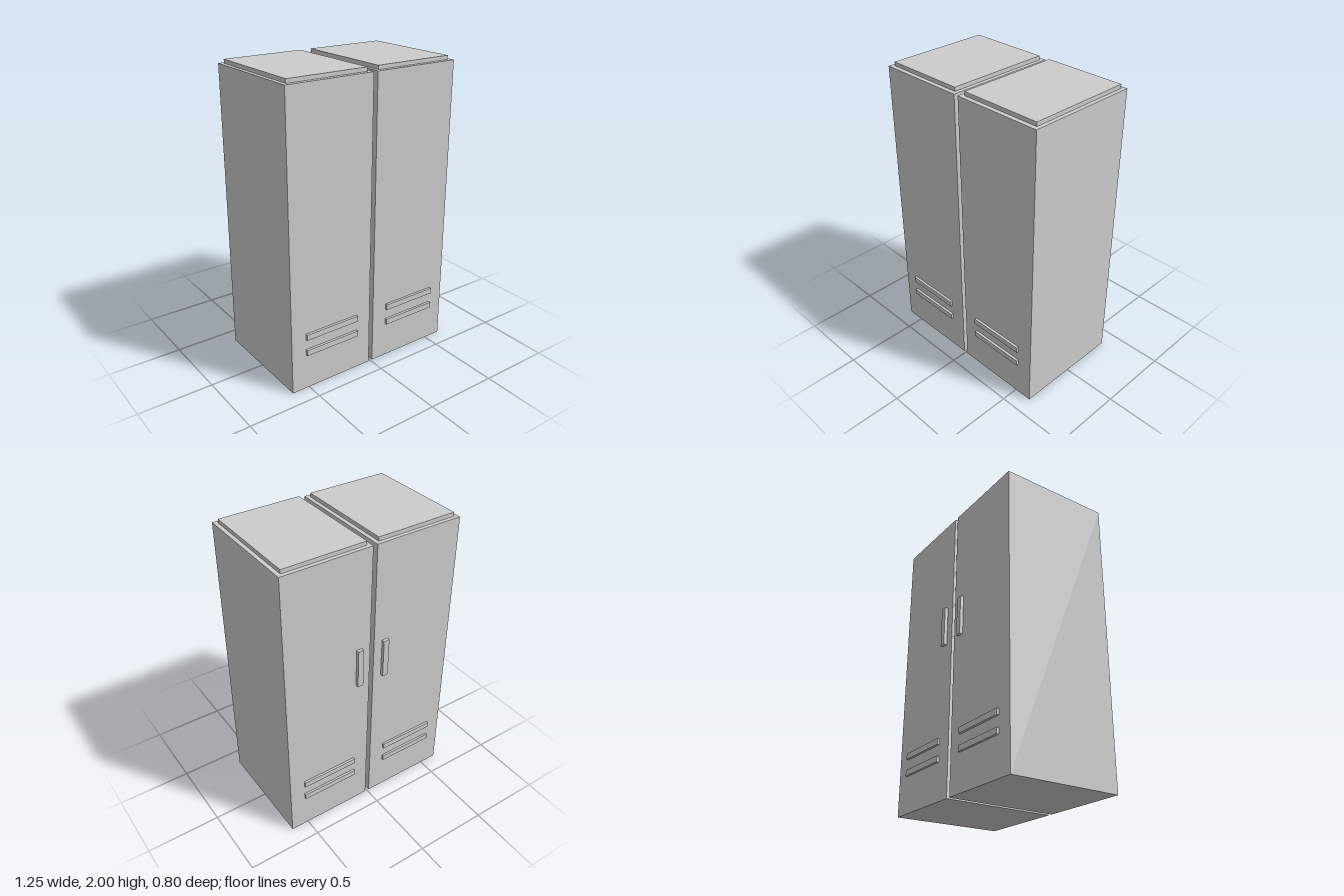
import * as THREE from 'three';

const material = new THREE.MeshStandardMaterial({ color: 0xcccccc });

// Box given by its lower and upper limits on each axis
function addBox(parent, name, [x0, x1], [y0, y1], [z0, z1]) {
  const mesh = new THREE.Mesh(new THREE.BoxGeometry(x1 - x0, y1 - y0, z1 - z0), material);
  mesh.name = name;
  mesh.position.set((x0 + x1) / 2, (y0 + y1) / 2, (z0 + z1) / 2);
  parent.add(mesh);
}

// One tall cabinet; side is +1 for the left and -1 for the right
function createCabinet(side) {
  const cabinet = new THREE.Group();
  cabinet.name = side > 0 ? 'leftCabinet' : 'rightCabinet';
  const span = (inner, outer) => (side > 0 ? [inner, outer] : [-outer, -inner]);

  addBox(cabinet, 'body', span(0.015, 0.623), [0, 1.974], [-0.379, 0.383]);
  addBox(cabinet, 'topPanel', span(0.041, 0.597), [1.974, 2], [-0.353, 0.354]);

  // Vent slats low on the front and the back
  for (const y of [0.247, 0.359]) {
    addBox(cabinet, 'frontVent', span(0.122, 0.518), [y, y + 0.039], [0.383, 0.4]);
    addBox(cabinet, 'backVent', span(0.122, 0.518), [y, y + 0.039], [-0.394, -0.379]);
  }

  // Upright handle near the gap on the back
  addBox(cabinet, 'handle', span(0.076, 0.116), [1.026, 1.296], [-0.401, -0.379]);
  return cabinet;
}

export function createModel() {
  const model = new THREE.Group();
  model.name = 'twinCabinets';
  for (const side of [1, -1]) model.add(createCabinet(side));
  return model;
}
